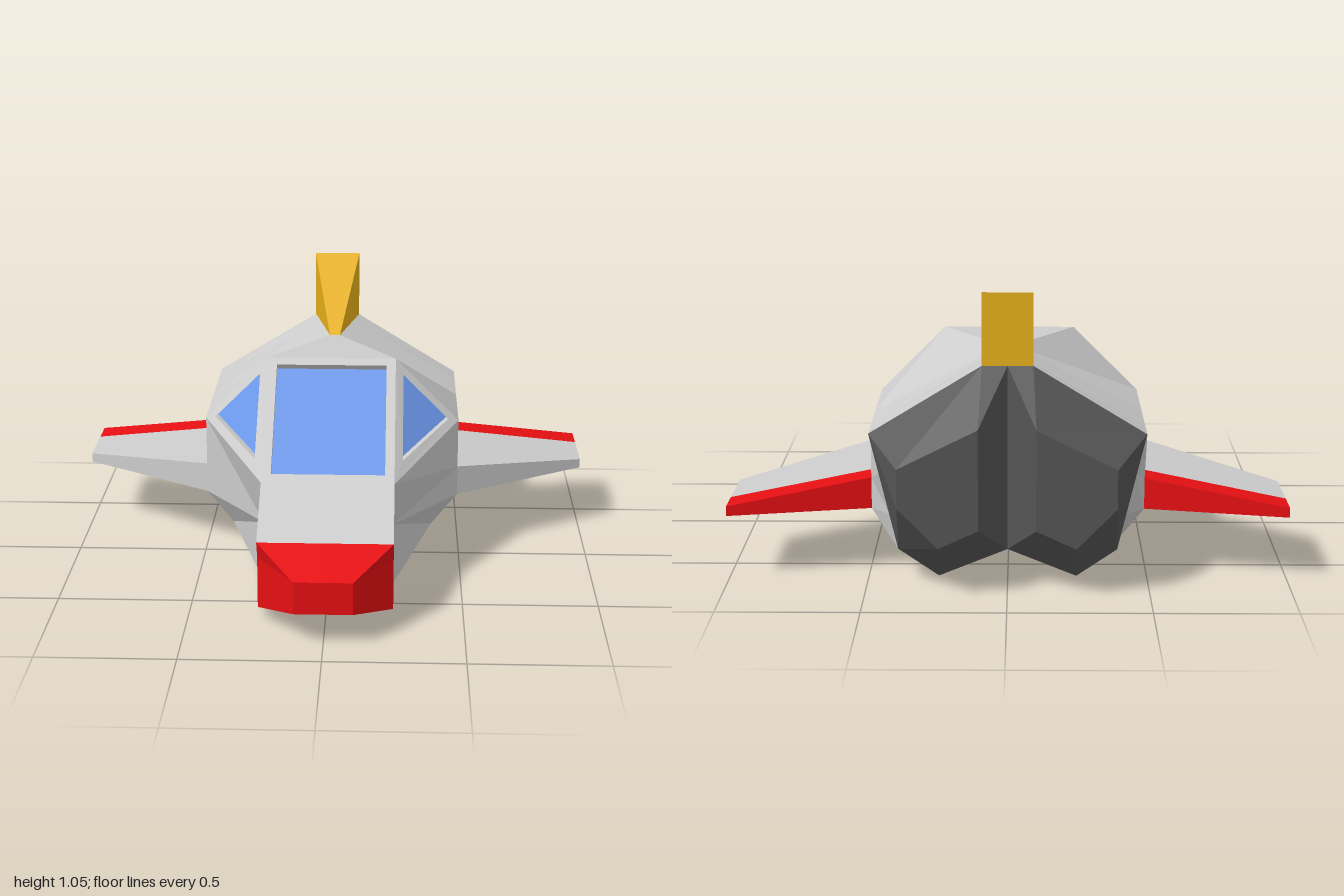
import * as THREE from 'three';

const material = (color) => new THREE.MeshStandardMaterial({ color, flatShading: true });
const grey = material(0xcccccc), dark = material(0x555555), red = material(0xe60f12);
const blue = material(0x6a96e8), gold = material(0xe6b01a);

const at = (z, pts) => pts.map(([x, y]) => [x, y, z]);

// Quads joining two point rows of equal length
function strip(a, b, closed = false) {
  const faces = [], n = a.length;
  for (let i = 0; i < (closed ? n : n - 1); i++) {
    const j = (i + 1) % n;
    faces.push([a[i], a[j], b[j], b[i]]);
  }
  return faces;
}

const flip = ([x, y, z]) => [-x, y, z];
const mirrored = (faces) => [...faces, ...faces.map((f) => f.map(flip).reverse())];

// Flat-shaded mesh from convex faces, skipping collapsed triangles
function faceMesh(name, faces, mat) {
  const pos = [];
  const a = new THREE.Vector3(), b = new THREE.Vector3(), c = new THREE.Vector3();
  for (const f of faces) {
    for (let i = 1; i < f.length - 1; i++) {
      a.set(...f[0]); b.set(...f[i]); c.set(...f[i + 1]);
      if (new THREE.Triangle(a, b, c).getArea() > 1e-7) pos.push(...f[0], ...f[i], ...f[i + 1]);
    }
  }
  const g = new THREE.BufferGeometry();
  g.setAttribute('position', new THREE.Float32BufferAttribute(pos, 3));
  g.computeVertexNormals();
  const mesh = new THREE.Mesh(g, mat);
  mesh.name = name;
  return mesh;
}

// Window frame with a pane sunk by (dy, dz)
function windowFaces(outer, inner, dy, dz) {
  const pane = inner.map(([x, y, z]) => [x, y + dy, z + dz]);
  return { frame: [...strip(outer, inner, true), ...strip(inner, pane, true)], pane: [pane] };
}

export function createModel() {
  const model = new THREE.Group();
  const add = (name, faces, mat) => model.add(faceMesh(name, faces, mat));

  // Half outlines run from top centre to bottom centre on the +x side
  const tip = at(0.875, [[0, 0.24], [0.105, 0.24], [0.105, 0.24], [0.105, 0.12], [0, 0.12]]);
  const noseBack = [[0, 0.31, 0.685], [0.245, 0.31, 0.685], [0.245, 0.24, 0.65], [0.245, 0.045, 0.65], [0, 0.045, 0.65]];
  const brow = [0.245, 0.447, 0.44], cheek = [0.245, 0.24, 0.31], chin = [0.245, 0, 0.31];
  const hoodBack = [[0, 0.447, 0.44], brow, cheek, chin, [0, 0, 0.31]];

  // Nose cone and hood
  add('noseCone', mirrored([...strip(tip, noseBack), [tip[4], tip[3], tip[1], tip[0]]]), red);
  add('hood', mirrored(strip(noseBack, hoodBack)), grey);

  // Fuselage: a wide flat roof at the front narrows to a ridge under the fin
  const section = (z, ridge, keel, centre) => at(z, [
    [0, 0.79], [ridge, 0.79], [0.49, 0.545], [0.49, 0.355], [0.49, 0.24], [0.39, 0.115], [0.245, keel], [0, centre],
  ]);
  const front = section(-0.02, 0.245, 0.01, 0.01);
  const middle = section(-0.35, 0.02, 0.015, 0.015);
  const aft = section(-0.58, 0.069, 0.018, 0.085);
  const rear = at(-0.68, [
    [0, 0.79], [0.09, 0.79], [0.49, 0.545], [0.455, 0.4], [0.42, 0.25], [0.39, 0.12], [0.245, 0.02], [0, 0.12],
  ]);
  const shoulder = strip(
    [brow, cheek, cheek, cheek, chin, chin, [0, 0, 0.31]],
    [front[2], front[3], front[4], front[5], front[5], front[6], front[7]],
  );
  add('fuselage', mirrored([...shoulder, ...strip(front, middle), ...strip(middle, aft), ...strip(aft, rear)]), grey);

  // Cockpit windows
  const roof = front[1], low = [0.21, 0.47, 0.409], high = [0.21, 0.77, 0.007];
  const screen = windowFaces([flip(brow), brow, roof, flip(roof)], [flip(low), low, high, flip(high)], -0.02, -0.015);
  const side = windowFaces(
    [brow, front[2], roof],
    [[0.275, 0.5, 0.33], [0.45, 0.56, 0.012], [0.275, 0.735, 0.012]],
    0, -0.05,
  );
  add('windshieldFrame', screen.frame, grey);
  add('windshield', screen.pane, blue);
  add('sideWindowFrames', mirrored(side.frame), grey);
  add('sideWindows', mirrored(side.pane), blue);

  // Twin tapered engines, split by a V-shaped groove
  const engineFront = [0, 1, 2, 5, 6, 7].map((i) => rear[i]);
  const engineBack = at(-0.875, [[0.1, 0.61], [0.1, 0.61], [0.38, 0.47], [0.38, 0.33], [0.24, 0.185], [0.1, 0.25]]);
  add('engines', mirrored([...strip(engineFront, engineBack, true), engineBack]), dark);

  // Wings with red trailing edges; rows start at the lower hinge line and run forward
  const wingRow = (x, top, lead, hinge, trail) => [
    [x, 0.24, hinge], [x, 0.24, lead], [x, top, lead], [x, top, hinge], [x, top, trail], [x, 0.24, trail], [x, 0.24, hinge],
  ];
  const root = wingRow(0.49, 0.355, -0.02, -0.47, -0.58);
  const end = wingRow(1, 0.275, -0.35, -0.565, -0.68);
  const wingPart = (from, to) => {
    const outer = end.slice(from, to);
    return mirrored([...strip(outer, root.slice(from, to)), outer.slice().reverse()]);
  };
  add('wings', wingPart(0, 4), grey);
  add('wingTrailingEdges', wingPart(3, 7), red);

  // Tail fin
  const f = [0.02, 0.79, -0.35], t = [0.09, 1.05, -0.68], b = rear[1];
  add('tailFin', [
    ...mirrored([[f, b, t]]),
    [flip(f), f, t, flip(t)],
    [t, b, flip(b), flip(t)],
  ], gold);

  return model;
}
